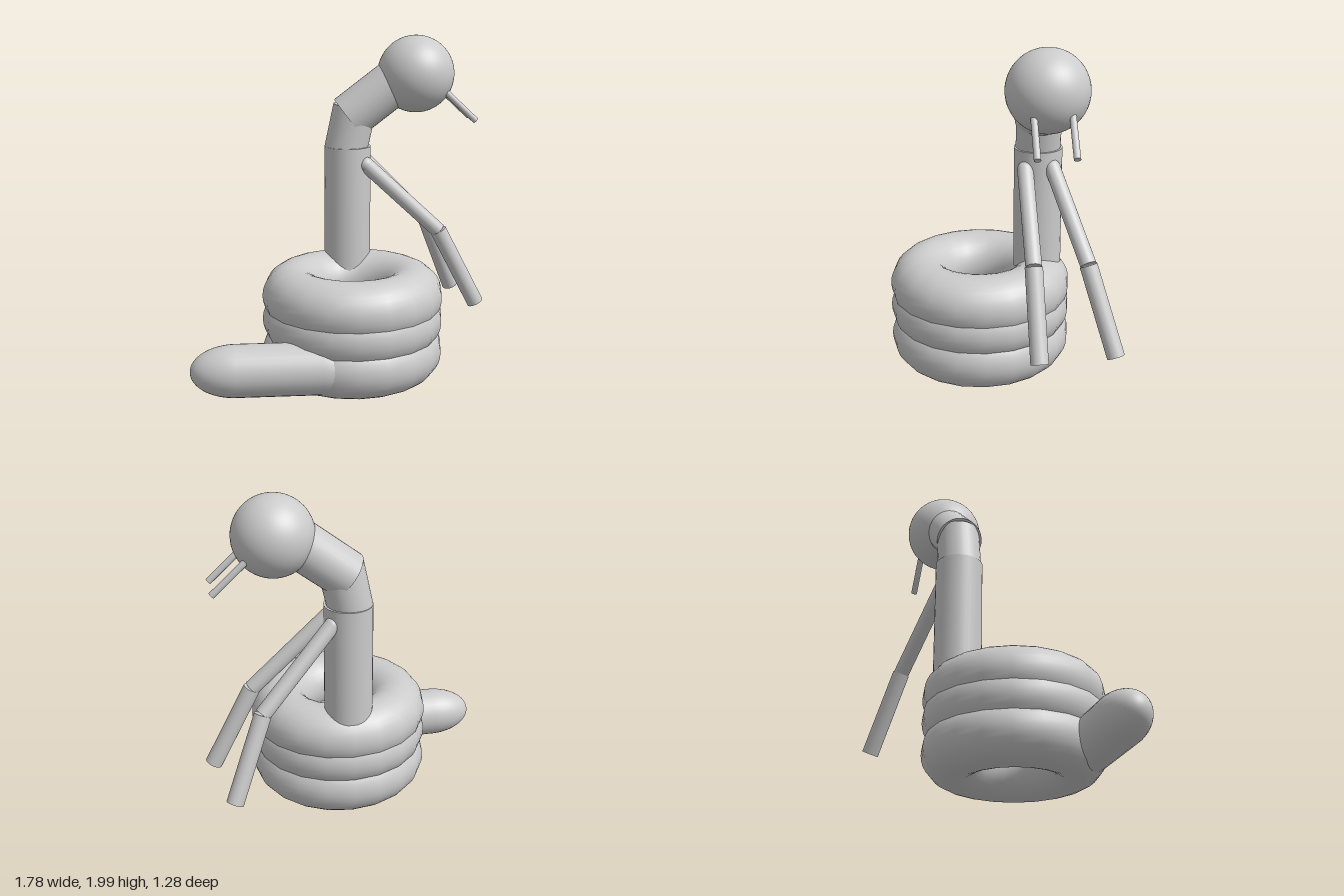
import * as THREE from 'three';

const material = new THREE.MeshStandardMaterial({ color: 0xcccccc });

function part(name, geometry, x = 0, y = 0, z = 0) {
  const mesh = new THREE.Mesh(geometry, material);
  mesh.name = name;
  mesh.position.set(x, y, z);
  return mesh;
}

// Cylinder running between two points
function rod(name, from, to, radius, sides = 32) {
  const a = new THREE.Vector3(...from), b = new THREE.Vector3(...to);
  const dir = b.clone().sub(a);
  const mesh = part(name, new THREE.CylinderGeometry(radius, radius, dir.length(), sides));
  mesh.position.copy(a).add(b).multiplyScalar(0.5);
  mesh.quaternion.setFromUnitVectors(new THREE.Vector3(0, 1, 0), dir.normalize());
  return mesh;
}

// Two-piece arm with a rounded shoulder
function arm(name, shoulder, elbow, hand) {
  const group = new THREE.Group();
  group.name = name;
  group.add(
    part('shoulder', new THREE.SphereGeometry(0.046, 24, 16), ...shoulder),
    rod('upperArm', shoulder, elbow, 0.046),
    rod('forearm', elbow, hand, 0.05)
  );
  return group;
}

export function createModel() {
  const model = new THREE.Group();
  model.name = 'coiledCreature';

  // Stacked body coils
  const coil = new THREE.TorusGeometry(0.355, 0.175, 32, 20).rotateX(Math.PI / 2);
  [0.183, 0.372, 0.512].forEach((y, i) => model.add(part('coil' + (i + 1), coil, 0.05, y, 0.11)));

  // Tail: capsule with stretched ends, running into the lowest coil
  const tail = new THREE.CapsuleGeometry(0.15, 0.288, 16, 32).scale(1, 1.7, 1).rotateZ(Math.PI / 2);
  model.add(part('tail', tail, -0.395, 0.19, 0.47));

  // Upright trunk and bent neck
  const z = -0.23;
  model.add(
    rod('trunk', [0.05, 0.45, z], [0.05, 1.338, z], 0.14),
    rod('lowerNeck', [0.038, 1.31, z], [0.093, 1.57, z], 0.13),
    rod('upperNeck', [0.054, 1.508, z], [0.37, 1.75, z], 0.138)
  );

  // Head with a pair of mandibles
  model.add(part('head', new THREE.SphereGeometry(0.23, 48, 32), 0.46, 1.768, z));
  for (const [name, side] of [['leftMandible', 1], ['rightMandible', -1]]) {
    const mz = -0.24 + side * 0.102;
    model.add(rod(name, [0.56, 1.731, mz], [0.812, 1.494, mz], 0.019, 20));
  }

  // Arms
  model.add(
    arm('frontArm', [0.155, 1.235, -0.145], [0.6, 0.82, -0.15], [0.843, 0.352, -0.16]),
    arm('backArm', [0.155, 1.245, -0.3], [0.575, 0.81, -0.455], [0.762, 0.34, -0.59])
  );
  return model;
}
